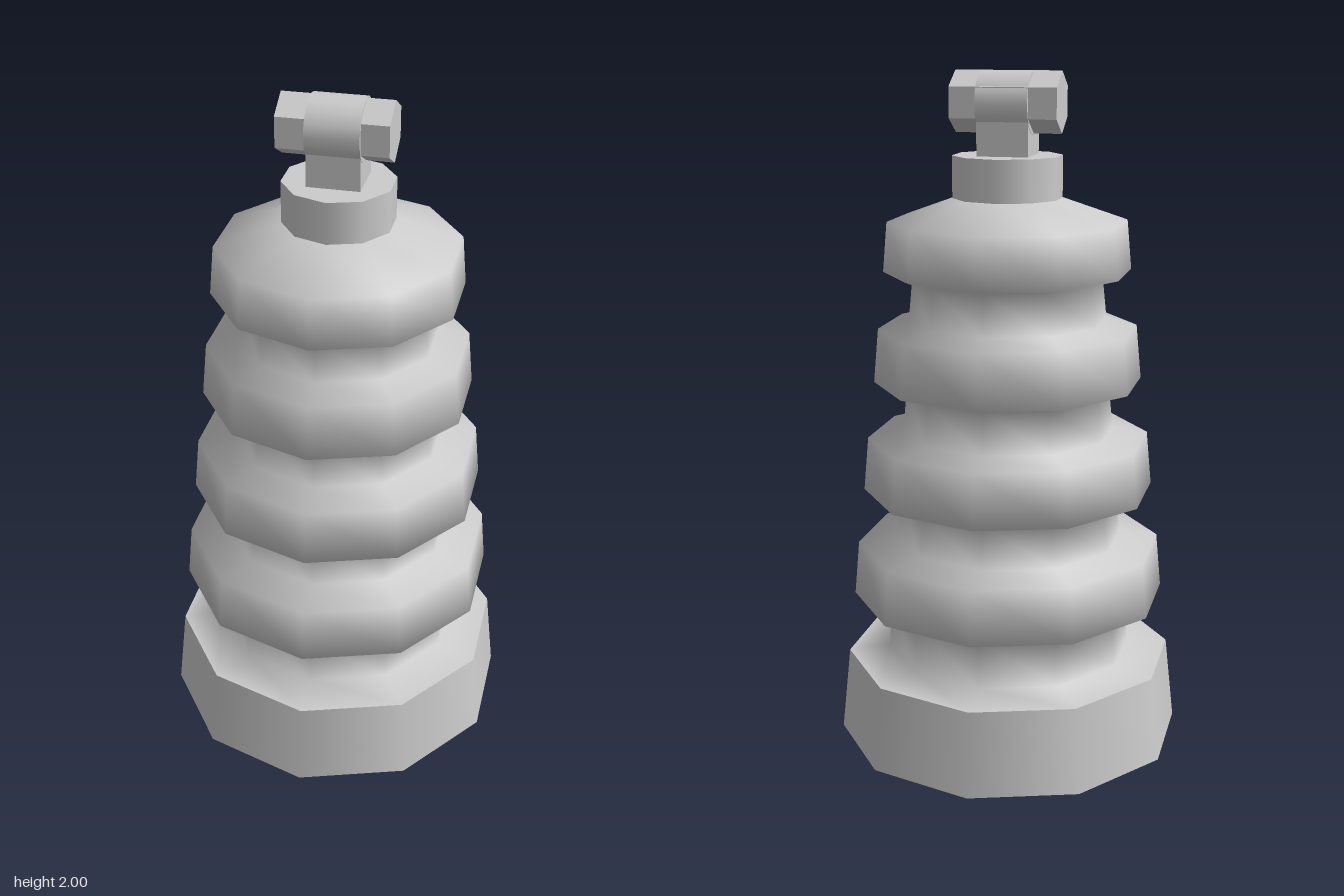
import * as THREE from 'three';

const SIDES = 10;

export function createModel() {
  const group = new THREE.Group();
  const material = new THREE.MeshStandardMaterial({ color: 0xcccccc, side: THREE.DoubleSide });

  function add(name, geometry, x = 0, y = 0, z = 0) {
    const mesh = new THREE.Mesh(geometry, material);
    mesh.name = name;
    mesh.position.set(x, y, z);
    group.add(mesh);
    return mesh;
  }

  // Ten-sided shell from [radius, height] pairs; the stack leans very slightly
  function shell(name, profile) {
    const geometry = new THREE.LatheGeometry(profile.map(([r, y]) => new THREE.Vector2(r, y)), SIDES);
    const p = geometry.attributes.position;
    for (let i = 0; i < p.count; i++) {
      const lean = 0.004 * p.getY(i);
      p.setX(i, p.getX(i) + lean);
      p.setZ(i, p.getZ(i) + lean);
    }
    return add(name, geometry);
  }

  // Hollow base skirt, open underneath
  shell('baseSkirt', [[0.52, 0], [0.493, 0.252]]);

  // Bellows: each fold is a narrow neck followed by a wide band
  // neck bottom r, y; neck top r, y; band bottom r, y; band top r, y
  const folds = [
    [0.37, 0.268, 0.358, 0.412, 0.471, 0.44, 0.456, 0.602],
    [0.342, 0.62, 0.322, 0.75, 0.435, 0.77, 0.42, 0.93],
    [0.315, 0.95, 0.302, 1.078, 0.398, 1.1, 0.383, 1.26],
    [0.292, 1.285, 0.28, 1.405, 0.364, 1.428, 0.351, 1.573],
  ];
  const bellows = [[0.493, 0.252]];
  for (const f of folds) {
    for (let i = 0; i < f.length; i += 2) bellows.push([f[i], f[i + 1]]);
  }
  bellows.push([0.16, 1.64]);
  shell('bellows', bellows);

  // Collar with a flat cap
  shell('collar', [[0.16, 1.635], [0.16, 1.762]]);
  shell('collarCap', [[0.16, 1.762], [0, 1.762]]);

  // Upright post and the rounded eye on top of it
  add('post', new THREE.BoxGeometry(0.15, 0.155, 0.142), 0.006, 1.835, 0.007);
  const eye = add('eye', new THREE.CylinderGeometry(0.09, 0.09, 0.152, 16), 0.006, 1.91, 0.008);
  eye.rotation.z = Math.PI / 2;

  // Hexagonal cross pin with a corner pointing up
  const pinShape = new THREE.Shape();
  for (let i = 0; i < 6; i++) {
    const a = i * Math.PI / 3;
    pinShape[i ? 'lineTo' : 'moveTo'](0.088 * Math.sin(a), 0.088 * Math.cos(a));
  }
  const pin = new THREE.ExtrudeGeometry(pinShape, { depth: 0.312, bevelEnabled: false });
  pin.translate(0, 0, -0.156).rotateY(Math.PI / 2);
  add('crossPin', pin, 0.004, 1.912, 0.007);

  return group;
}
